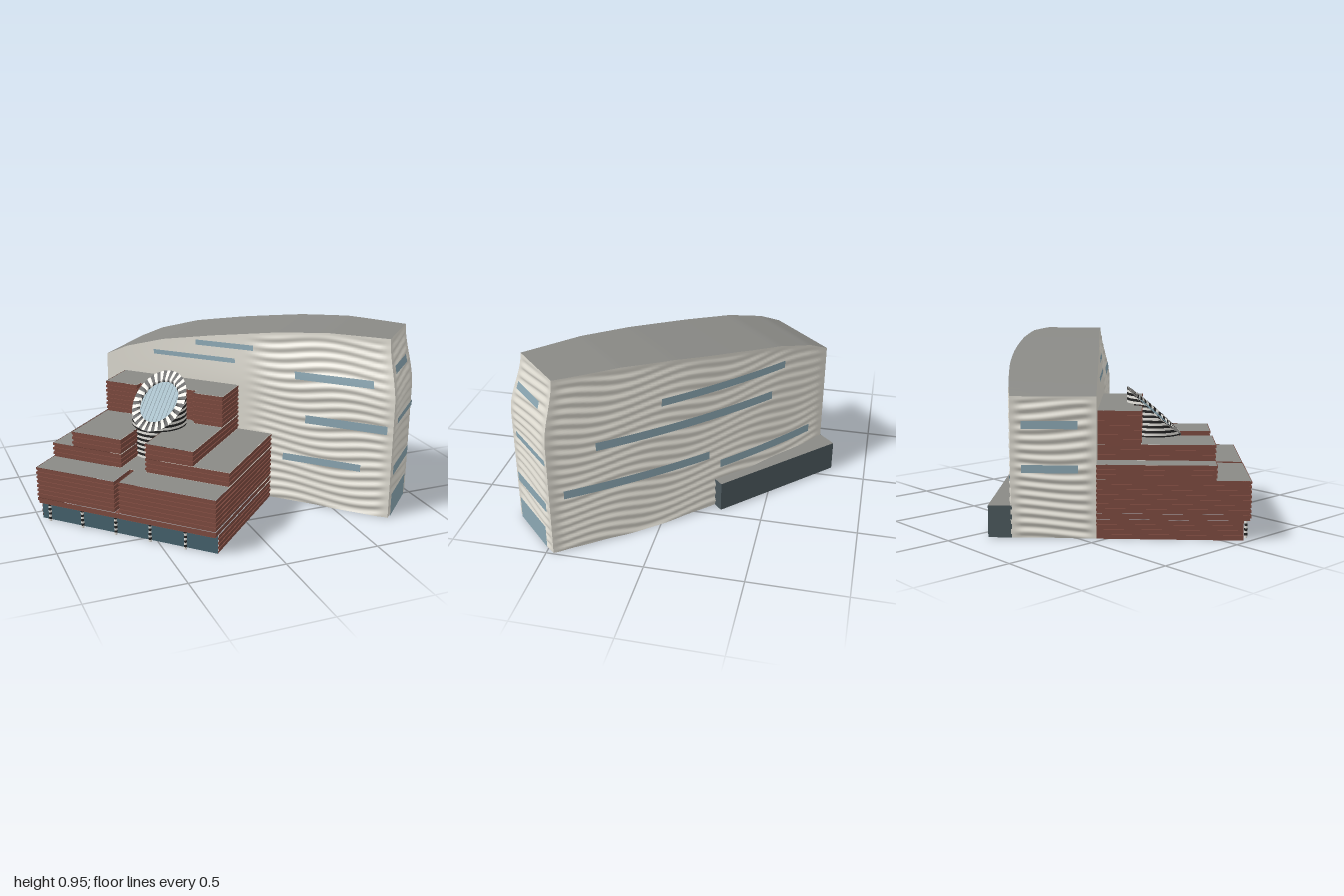
import * as THREE from 'three';

const material = (color, flatShading = false) =>
  new THREE.MeshStandardMaterial({ color, flatShading, side: THREE.DoubleSide });
const MAT = {
  cream: material(0xdedbd1), roof: material(0x8a8a86), brick: material(0x7d4a3f, true),
  glass: material(0x8ba7b3), darkGlass: material(0x44606c), annex: material(0x4c585d),
  black: material(0x222222), white: material(0xe6e4de),
};
const { lerp, smoothstep, clamp } = THREE.MathUtils;

function add(parent, name, geometry, mat) {
  const mesh = new THREE.Mesh(geometry, mat);
  mesh.name = name;
  parent.add(mesh);
  return mesh;
}

// Surface swept over a grid: f(s, t) returns [x, y, z], s and t run 0..1
function grid(f, ns, nt, flip = false) {
  const pos = [], index = [];
  for (let j = 0; j <= nt; j++)
    for (let i = 0; i <= ns; i++) pos.push(...f(i / ns, j / nt));
  for (let j = 0; j < nt; j++)
    for (let i = 0; i < ns; i++) {
      const a = j * (ns + 1) + i, b = a + 1, c = a + ns + 1, d = c + 1;
      index.push(...(flip ? [a, d, b, a, c, d] : [a, b, d, a, d, c]));
    }
  const g = new THREE.BufferGeometry();
  g.setAttribute('position', new THREE.Float32BufferAttribute(pos, 3));
  g.setIndex(index);
  g.computeVertexNormals();
  return g;
}

// Horizontal rectangle
const slab = (x0, x1, z0, z1, y) =>
  grid((s, t) => [lerp(x0, x1, s), y, lerp(z1, z0, t)], 1, 1);

// Brick wall along a right-angled path, with courses stepping in and out
function brickWall(parent, name, path, y0, y1) {
  const normal = (i) => {
    const [a, b] = [path[i], path[i + 1]];
    if (!a || !b) return [0, 0];
    return [-Math.sign(b[1] - a[1]), Math.sign(b[0] - a[0])];
  };
  const courses = Math.max(1, Math.round((y1 - y0) / 0.0125));
  const rows = [];
  for (let c = 0; c < courses; c++) {
    const out = c % 2 ? 0.003 : -0.002;
    rows.push([lerp(y0, y1, c / courses), out], [lerp(y0, y1, (c + 1) / courses), out]);
  }
  const n = path.length - 1, m = rows.length - 1;
  const g = grid((s, t) => {
    const i = Math.round(s * n), [y, e] = rows[Math.round(t * m)];
    const p = normal(i - 1), q = normal(i);
    return [path[i][0] + (p[0] + q[0]) * e, y, path[i][1] + (p[1] + q[1]) * e];
  }, n, m);
  add(parent, name, g, MAT.brick);
}

// ---- Tall rippled tower ----
const U0 = -0.633, U1 = 1.03;
const PROFILE = [[-0.633, 0.71], [-0.5, 0.77], [-0.27, 0.832], [0.03, 0.88],
  [0.4, 0.93], [0.69, 0.955], [1.04, 0.955]];
function height(s) {
  const u = lerp(U0, U1, s);
  let i = 0;
  while (i < PROFILE.length - 2 && u > PROFILE[i + 1][0]) i++;
  const [a, b] = [PROFILE[i], PROFILE[i + 1]];
  return lerp(a[1], b[1], clamp((u - a[0]) / (b[0] - a[0]), 0, 1));
}
const lean = (y) => 0.057 * smoothstep(y, 0.62, 0.97);
const alongX = (s, y) => lerp(U0, U1 - lean(y), s);
const front = (s, y) => [alongX(s, y), y, 0.02 - lean(y) * s];
const back = (s, y) => [alongX(s, y), y, -0.406 - 0.267 * s + 0.298 * s * s];
const mix = (a, b, w) => a.map((v, i) => lerp(v, b[i], w));
const sideFace = (end) => (s, y) => mix(front(end, y), back(end, y), s);

function buildTower() {
  const tower = new THREE.Group();
  tower.name = 'tower';
  const along = (u) => (u - U0) / (U1 - U0);
  // windows: [start, end, bottom, top] along each face
  const faces = [
    { name: 'front', f: front, n: [0, 1], h: height, to: along, cols: 90,
      mask: (s) => smoothstep(s, 0.5, 0.6),
      windows: [[-0.07, 0.27, 0.822, 0.85], [-0.33, 0.16, 0.745, 0.77], [0.5, 0.925, 0.7, 0.74],
        [0.56, 1.0, 0.465, 0.51], [0.44, 0.87, 0.238, 0.277]] },
    { name: 'back', f: back, n: [0, -1], h: height, to: along, cols: 90, flip: true,
      windows: [[-0.31, 0.45, 0.7, 0.74], [-0.23, 0.79, 0.542, 0.587],
        [0.17, 0.96, 0.31, 0.355], [-0.52, 0.1, 0.235, 0.28]] },
    { name: 'leftEnd', f: sideFace(1), n: [1, 0], h: () => 0.955, to: (v) => (0.02 - v) / 0.395, cols: 24,
      windows: [[-0.02, -0.28, 0.775, 0.815], [-0.04, -0.37, 0.51, 0.54],
        [-0.01, -0.345, 0.232, 0.285], [-0.01, -0.315, 0, 0.125]] },
    { name: 'rightEnd', f: sideFace(0), n: [-1, 0], h: () => 0.71, to: (v) => (0.02 - v) / 0.426, cols: 24,
      flip: true, windows: [[-0.07, -0.35, 0.55, 0.59], [-0.07, -0.35, 0.33, 0.37]] },
  ];
  for (const { name, f, n, h, to, cols, flip, mask, windows } of faces) {
    const push = (p, d) => [p[0] + n[0] * d, p[1], p[2] + n[1] * d];
    add(tower, name + 'Wall', grid((s, t) => {
      const y = t * h(s), p = f(s, y);
      const edge = smoothstep(Math.min(s, 1 - s) * cols, 0, 4) * smoothstep(1 - t, 0, 0.05);
      const phase = 0.35 * Math.sin(p[0] * 9 + p[2] * 7 + y * 6);
      const wave = Math.sin(2 * Math.PI * (y / 0.05 + phase));
      return push(p, 0.005 * wave * edge * (mask ? mask(s) : 1));
    }, cols, 114, flip), MAT.cream);
    for (const [a, b, y0, y1] of windows)
      add(tower, name + 'Window', grid((s, t) =>
        push(f(lerp(to(a), to(b), s), lerp(y0, y1, t)), 0.0065), 16, 3, flip), MAT.glass);
  }
  add(tower, 'towerRoof', grid((s, t) => {
    const y = height(s);
    return mix(front(s, y), back(s, y), t);
  }, 60, 4), MAT.roof);
  return tower;
}

// ---- Stepped brick building ----
function buildSteppedBlock() {
  const block = new THREE.Group();
  block.name = 'steppedBlock';
  const L = -0.636, R = 0.368, F = 0.778, Z = 0.02, M = 0.61, G = 0.745;
  brickWall(block, 'baseWallRight', [[L, Z], [L, G]], 0, 0.1);
  brickWall(block, 'baseWallLeft', [[R, G], [R, Z]], 0, 0.1);
  brickWall(block, 'lowerWall', [[L, Z], [L, F], [R, F], [R, Z]], 0.1, 0.13);
  brickWall(block, 'slottedWall', [[L, Z], [L, F], [-0.185, F], [-0.185, M], [-0.155, M],
    [-0.155, F], [R, F], [R, Z]], 0.13, 0.3);
  const gap = [[-0.233, M], [-0.233, 0.24], [-0.09, 0.24], [-0.09, M]];
  brickWall(block, 'secondTierWall', [[L, Z], [L, M], ...gap, [R, M], [R, Z]], 0.3, 0.375);
  brickWall(block, 'thirdTierWall', [[-0.516, Z], [-0.516, M], ...gap, [0.173, M], [0.173, Z]], 0.375, 0.455);
  brickWall(block, 'topTierWall', [[-0.516, Z], [-0.516, 0.24], [-0.33, 0.24], [-0.33, 0.2],
    [0.007, 0.2], [0.007, 0.24], [0.173, 0.24], [0.173, Z]], 0.455, 0.625);
  // terraces: x0, x1, z0, z1, y
  const roofs = [
    [L, -0.185, M, F, 0.3], [-0.155, R, M, F, 0.3], [-0.233, -0.09, 0.24, M, 0.3],
    [L, -0.516, Z, M, 0.375], [0.173, R, Z, M, 0.375],
    [-0.516, -0.233, 0.24, M, 0.455], [-0.09, 0.173, 0.24, M, 0.455], [-0.33, 0.007, 0.2, 0.24, 0.455],
    [-0.516, 0.173, Z, 0.2, 0.625], [-0.516, -0.33, 0.2, 0.24, 0.625], [0.007, 0.173, 0.2, 0.24, 0.625],
  ];
  for (const r of roofs) add(block, 'terrace', slab(...r), MAT.roof);
  add(block, 'slotFloor', slab(-0.185, -0.155, M, F, 0.13), MAT.brick);
  add(block, 'entranceSoffit', slab(L, R, G, F, 0.1), MAT.brick);
  add(block, 'entranceGlass', grid((s, t) => [lerp(L, R, s), t * 0.1, G], 1, 1), MAT.darkGlass);
  // Banded entrance columns
  for (let i = 0; i < 5; i++)
    for (let b = 0; b < 8; b++)
      add(block, 'entranceColumn', new THREE.CylinderGeometry(0.008, 0.008, 0.0125, 12),
        b % 2 ? MAT.black : MAT.white).position.set(-0.58 + i * 0.195, 0.00625 + b * 0.0125, 0.762);
  return block;
}

// ---- Striped skylight drum, cut by a sloping plane ----
function buildSkylight() {
  const drum = new THREE.Group();
  drum.name = 'skylight';
  drum.position.set(-0.163, 0, 0.304);
  const R = 0.145, r = 0.102;
  const planeY = (z) => 0.58 - 0.86 * z;
  const round = (radius, a, y) => [radius * Math.sin(a), y, radius * Math.cos(a)];
  const bands = 30;
  for (let b = 0; b < bands; b++)
    add(drum, 'drumBand', grid((s, t) => {
      const p = round(R, s * Math.PI * 2, lerp(0.3, 0.706, (b + t) / bands));
      p[1] = Math.min(p[1], planeY(p[2]));
      return p;
    }, 48, 1), b % 2 ? MAT.black : MAT.white);
  // Radial stripes of the rim with their inner return
  const n = 48, sink = 0.015;
  for (let i = 0; i < n; i++)
    add(drum, 'rimStripe', grid((s, t) => {
      const p = round(t < 0.4 ? R : r, ((i + s) / n) * Math.PI * 2, 0);
      p[1] = planeY(p[2]) - (t > 0.9 ? sink : 0);
      return p;
    }, 1, 2), i % 2 ? MAT.black : MAT.white);
  add(drum, 'skylightGlass', grid((s, t) => {
    const p = round(r * (1 - t), s * Math.PI * 2, 0);
    p[1] = planeY(p[2]) - sink;
    return p;
  }, 48, 1), MAT.glass);
  // Glazing bars
  for (let i = -4; i <= 4; i++) {
    const x = i * 0.022, half = Math.sqrt(r * r - x * x);
    add(drum, 'glazingBar', grid((s, t) => {
      const z = lerp(half, -half, t);
      return [x + (s - 0.5) * 0.003, planeY(z) - sink + 0.003, z];
    }, 1, 1), MAT.darkGlass);
  }
  return drum;
}

// ---- Low annex behind the tower ----
function buildAnnex() {
  const annex = new THREE.Group();
  annex.name = 'annex';
  const path = [[0.124, -0.42], [0.124, -0.52], [-0.633, -0.52], [-0.633, -0.4]];
  for (let i = 0; i < 3; i++) {
    const [a, b] = [path[i], path[i + 1]];
    add(annex, 'annexWall', grid((s, t) => [lerp(a[0], b[0], s), t * 0.163, lerp(a[1], b[1], s)], 1, 1), MAT.annex);
  }
  add(annex, 'annexRoof', slab(-0.633, 0.124, -0.52, -0.41, 0.163), MAT.roof);
  return annex;
}

export function createModel() {
  const model = new THREE.Group();
  model.name = 'museumBuilding';
  const turned = new THREE.Group();
  turned.name = 'building';
  turned.rotation.y = -Math.PI / 4;
  turned.add(buildTower(), buildSteppedBlock(), buildSkylight(), buildAnnex());
  model.add(turned);
  return model;
}
